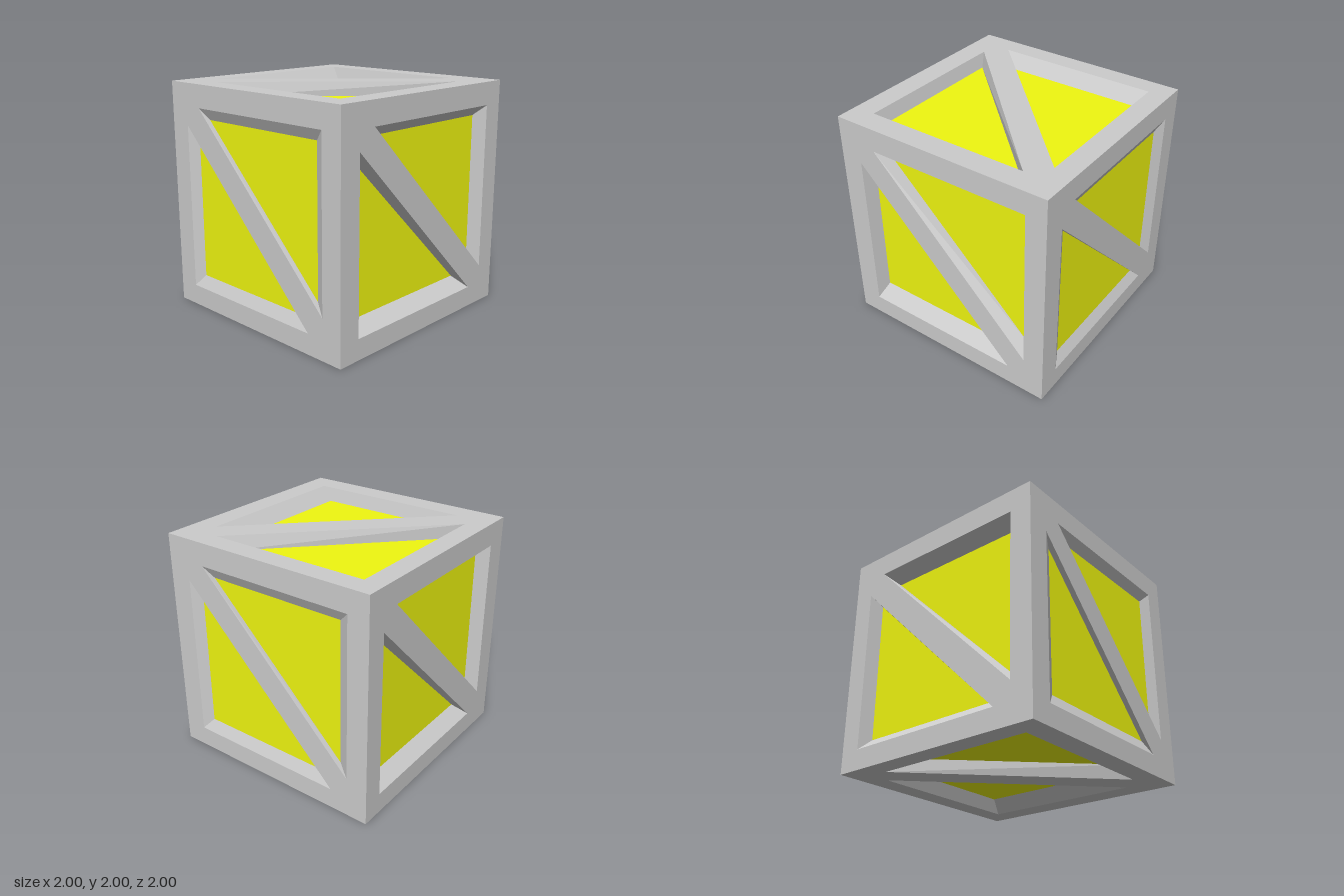
import * as THREE from 'three';

const grey = new THREE.MeshStandardMaterial({ color: 0xcccccc, flatShading: true });
const yellow = new THREE.MeshStandardMaterial({ color: 0xeff610, flatShading: true });

// Recesses of one side: rim and floor triangles, counter-clockwise, around the side's centre
const deepRecesses = [
  { rim: [[0.815, -0.655], [0.815, 0.8], [-0.64, 0.8]],
    floor: [[0.78, -0.58], [0.78, 0.705], [-0.545, 0.705]] },
  { rim: [[-0.8, 0.635], [-0.8, -0.82], [0.655, -0.82]],
    floor: [[-0.765, 0.56], [-0.765, -0.715], [0.555, -0.715]] },
];
const shallowRecesses = [
  { rim: [[0.81, -0.645], [0.81, 0.8], [-0.635, 0.8]],
    floor: [[0.715, -0.555], [0.715, 0.705], [-0.55, 0.705]] },
  { rim: [[-0.8, 0.635], [-0.8, -0.82], [0.65, -0.82]],
    floor: [[-0.705, 0.54], [-0.705, -0.715], [0.56, -0.715]] },
];

const toShape = (points) => new THREE.Shape(points.map(([u, v]) => new THREE.Vector2(u, v)));

function mesh(name, geometry, material) {
  const m = new THREE.Mesh(geometry, material);
  m.name = name;
  return m;
}

// Sloping walls joining a rim at z = 1 to its floor
function wallGeometry(rim, floor, depth) {
  const positions = [];
  for (let i = 0; i < 3; i++) {
    const j = (i + 1) % 3;
    const a = [...rim[i], 1], b = [...rim[j], 1];
    const c = [...floor[j], 1 - depth], d = [...floor[i], 1 - depth];
    positions.push(...a, ...b, ...c, ...a, ...c, ...d);
  }
  const geometry = new THREE.BufferGeometry();
  geometry.setAttribute('position', new THREE.Float32BufferAttribute(positions, 3));
  geometry.computeVertexNormals();
  return geometry;
}

// One side of the crate: flat frame with a diagonal brace, recess walls and coloured panels
function makeSide({ name, recesses, depth, rotation, shift }) {
  const side = new THREE.Group();
  side.name = name;
  const move = (points) => points.map(([u, v]) => [u + shift[0], v + shift[1]]);
  const frame = toShape([[-1, -1], [1, -1], [1, 1], [-1, 1]]);
  for (const recess of recesses) {
    const rim = move(recess.rim), floor = move(recess.floor);
    frame.holes.push(toShape(rim));
    side.add(mesh('recessWalls', wallGeometry(rim, floor, depth), grey));
    side.add(mesh('panel', new THREE.ShapeGeometry(toShape(floor)).translate(0, 0, 1 - depth), yellow));
  }
  side.add(mesh('bracedFrame', new THREE.ShapeGeometry(frame).translate(0, 0, 1), grey));
  side.rotation.set(...rotation);
  side.position.y = 1;
  return side;
}

export function createModel() {
  const crate = new THREE.Group();
  crate.name = 'crate';
  const q = Math.PI / 2;
  const deep = { recesses: deepRecesses, depth: 0.12 };
  const shallow = { recesses: shallowRecesses, depth: 0.05 };
  const sides = [
    { name: 'frontSide', ...deep, rotation: [0, 0, 0], shift: [0, 0] },
    { name: 'backSide', ...deep, rotation: [0, 2 * q, 0], shift: [-0.015, 0] },
    { name: 'leftSide', ...shallow, rotation: [0, q, 0], shift: [0, 0] },
    { name: 'rightSide', ...shallow, rotation: [0, -q, 0], shift: [0, 0] },
    { name: 'topSide', ...deep, rotation: [-q, 0, 0], shift: [0, 0.02] },
    { name: 'bottomSide', ...deep, rotation: [q, 0, 2 * q], shift: [-0.015, 0.02] },
  ];
  for (const side of sides) crate.add(makeSide(side));
  return crate;
}
